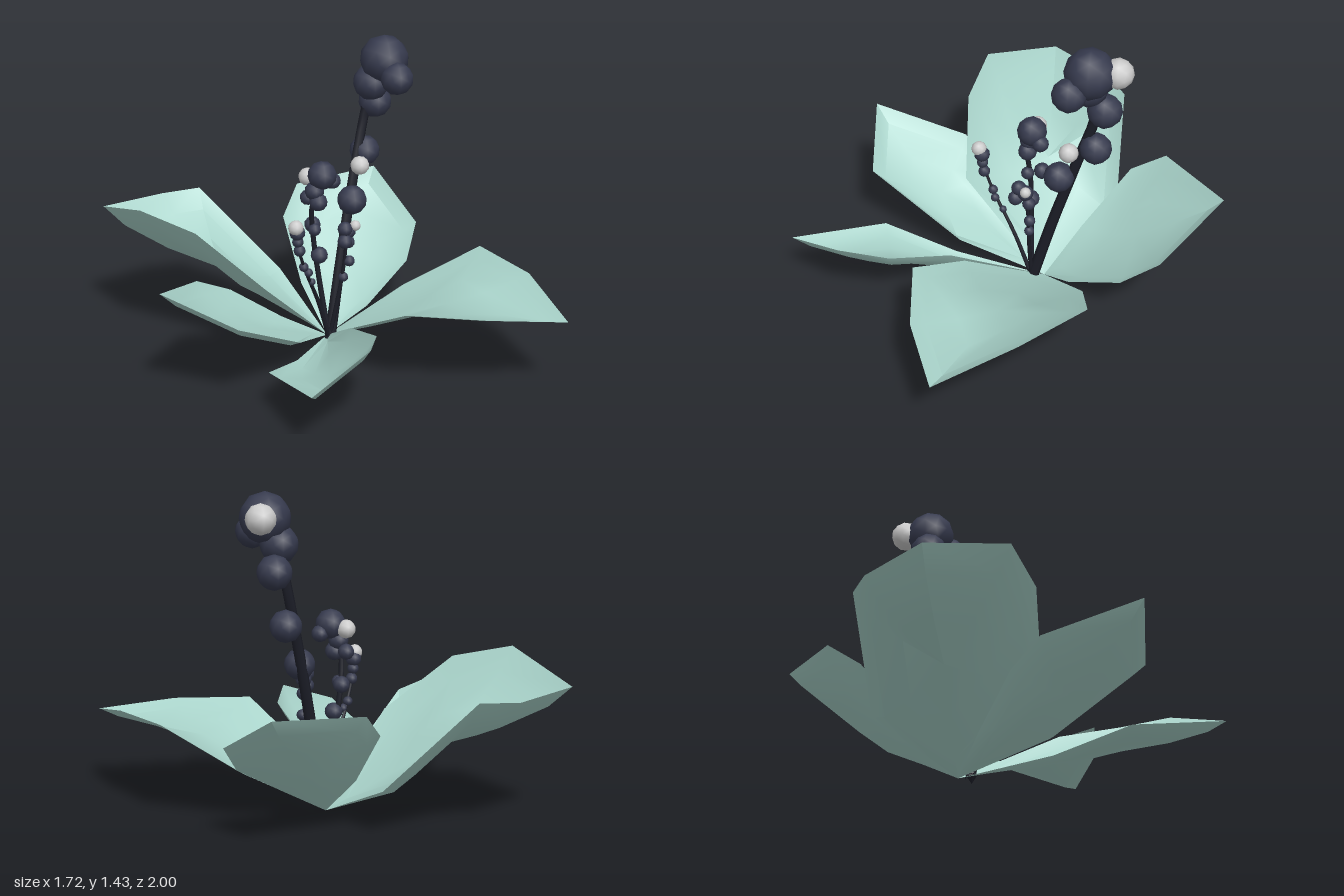
import * as THREE from 'three';
import { toCreasedNormals } from 'three/addons/utils/BufferGeometryUtils.js';

const leafMat = new THREE.MeshStandardMaterial({ color: 0xa9d3ca, side: THREE.DoubleSide });
const darkMat = new THREE.MeshStandardMaterial({ color: 0x363a4e });
const stemMat = new THREE.MeshStandardMaterial({ color: 0x1d1f29 });
const paleMat = new THREE.MeshStandardMaterial({ color: 0xcccccc });

const ROOT = [0.155, 0.02, -0.15];

// Leaves: hollow centre, depth of the border fold, then the rim counted
// counterclockwise from above, starting after the root
const LEAVES = {
  backLeaf: {
    centre: [-0.15, 0.33, -0.55], fold: 0.04,
    rim: [[0.25, 0.2, -0.57], [0.03, 0.59, -0.9], [-0.13, 0.58, -0.985], [-0.47, 0.6, -1],
      [-0.57, 0.715, -0.6], [-0.47, 0.65, -0.34], [-0.28, 0.4, -0.1]],
  },
  backLeftLeaf: {
    centre: [0.5, 0.3, -0.38], fold: 0.02,
    rim: [[0.35, 0.13, -0.08], [0.63, 0.275, -0.09], [0.78, 0.41, -0.17], [0.855, 0.59, -0.53],
      [0.45, 0.565, -0.66], [0.3, 0.45, -0.6], [0.2, 0.2, -0.37]],
  },
  frontLeaf: {
    centre: [0.35, 0.3, 0.42], fold: 0.015,
    rim: [[-0.03, 0.23, 0.2], [-0.04, 0.4, 0.53], [0.19, 0.39, 0.8], [0.48, 0.355, 1],
      [0.65, 0.425, 0.64], [0.73, 0.43, 0.28], [0.5, 0.22, 0.01]],
  },
  frontRightLeaf: {
    centre: [-0.33, 0.16, 0.36], fold: 0.025,
    rim: [[-0.22, 0.08, 0.04], [-0.53, 0.18, 0.19], [-0.7, 0.28, 0.63], [-0.38, 0.39, 0.65],
      [-0.2, 0.35, 0.51], [-0.08, 0.26, 0.24]],
  },
  rightLeaf: {
    centre: [-0.42, 0.26, -0.08], fold: 0.025,
    rim: [[-0.05, 0.15, -0.24], [-0.3, 0.34, -0.31], [-0.48, 0.43, -0.33], [-0.86, 0.55, -0.12],
      [-0.65, 0.4, 0.14], [-0.2, 0.16, 0.04]],
  },
};

// A leaf is a shallow bowl: the rim, two sunken rings inside it, and a fan to the centre
function leafGeometry({ centre, fold, rim }) {
  const c = new THREE.Vector3(...centre);
  const outer = [ROOT, ...rim].map((p) => new THREE.Vector3(...p));
  const n = outer.length;
  const points = [...outer];
  for (const t of [0.18, 0.55]) {
    for (const [i, p] of outer.entries()) {
      const q = p.clone().lerp(c, t);
      if (i > 0) q.y -= fold;
      points.push(q);
    }
  }
  points.push(c);
  const index = [];
  for (let i = 0; i < n; i++) {
    const j = (i + 1) % n;
    for (const a of [0, n]) index.push(a + i, a + j, a + n + j, a + i, a + n + j, a + n + i);
    index.push(2 * n + i, 2 * n + j, 3 * n);
  }
  const g = new THREE.BufferGeometry().setFromPoints(points);
  g.setIndex(index);
  return toCreasedNormals(g, 0.65);
}

// Stalks: path, bottom and top radius, beads as [x, y, z, radius], pale beads likewise
const STALKS = {
  tallStalk: {
    path: [[0.125, 0.03, -0.1], [0.22, 0.4, -0.125], [0.32, 0.75, -0.15], [0.415, 1.09, -0.16], [0.415, 1.28, -0.1]],
    radii: [0.027, 0.021],
    dark: [[0.265, 0.68, -0.1, 0.069], [0.412, 0.87, -0.165, 0.071], [0.462, 1.1, -0.15, 0.077],
      [0.4, 1.21, -0.115, 0.084], [0.41, 1.255, 0.035, 0.075], [0.437, 1.32, -0.07, 0.112]],
    pale: [[0.315, 0.835, -0.1, 0.044], [0.53, 1.325, -0.14, 0.067]],
  },
  middleStalk: {
    path: [[0.12, 0.03, -0.1], [0.09, 0.3, -0.13], [0.065, 0.55, -0.15], [0.05, 0.7, -0.14], [0.08, 0.82, -0.12]],
    radii: [0.014, 0.011],
    dark: [[0.085, 0.45, -0.13, 0.04], [0.06, 0.58, -0.135, 0.03], [0.1, 0.58, -0.19, 0.038],
      [0.07, 0.715, -0.12, 0.042], [0.065, 0.765, -0.14, 0.045], [0.07, 0.72, -0.19, 0.036],
      [0.15, 0.8, -0.11, 0.038], [0.094, 0.837, -0.12, 0.067]],
    pale: [[0.07, 0.82, -0.19, 0.042]],
  },
  shortStalk: {
    path: [[0.12, 0.03, -0.1], [0.14, 0.3, -0.05], [0.15, 0.45, -0.03], [0.14, 0.6, -0.01]],
    radii: [0.011, 0.007],
    dark: [[0.15, 0.35, -0.04, 0.023], [0.168, 0.43, -0.02, 0.026], [0.162, 0.525, -0.02, 0.03],
      [0.11, 0.55, 0.01, 0.034], [0.15, 0.585, -0.01, 0.036], [0.12, 0.605, 0, 0.034]],
    pale: [[0.17, 0.612, 0.015, 0.025]],
  },
  leaningStalk: {
    path: [[0.12, 0.03, -0.1], [0.03, 0.25, -0.08], [-0.07, 0.44, -0.06], [-0.12, 0.56, -0.05], [-0.14, 0.66, -0.045]],
    radii: [0.011, 0.006],
    dark: [[-0.025, 0.37, -0.065, 0.017], [-0.06, 0.43, -0.05, 0.02], [-0.08, 0.46, -0.06, 0.022],
      [-0.12, 0.555, -0.045, 0.027], [-0.13, 0.6, -0.045, 0.026], [-0.133, 0.645, -0.045, 0.036]],
    pale: [[-0.146, 0.672, -0.04, 0.035]],
  },
};

// Tube that narrows steadily along its curve
function taperedTube(points, [r0, r1]) {
  const curve = new THREE.CatmullRomCurve3(points.map((p) => new THREE.Vector3(...p)));
  const rows = 16, sides = 6;
  const g = new THREE.TubeGeometry(curve, rows, 1, sides);
  const pos = g.attributes.position, v = new THREE.Vector3();
  for (let i = 0; i < pos.count; i++) {
    const t = Math.floor(i / (sides + 1)) / rows;
    const centre = curve.getPointAt(t);
    v.fromBufferAttribute(pos, i).sub(centre).multiplyScalar(r0 + (r1 - r0) * t).add(centre);
    pos.setXYZ(i, v.x, v.y, v.z);
  }
  return g;
}

export function createModel() {
  const group = new THREE.Group();
  group.name = 'plant';
  const add = (parent, name, geometry, material) => {
    const mesh = new THREE.Mesh(geometry, material);
    mesh.name = name;
    parent.add(mesh);
    return mesh;
  };

  for (const [name, leaf] of Object.entries(LEAVES)) add(group, name, leafGeometry(leaf), leafMat);

  const ball = new THREE.IcosahedronGeometry(1, 1);
  for (const [name, { path, radii, dark, pale }] of Object.entries(STALKS)) {
    const stalk = new THREE.Group();
    stalk.name = name;
    group.add(stalk);
    add(stalk, 'stem', taperedTube(path, radii), stemMat);
    for (const [beads, label, mat] of [[dark, 'berry', darkMat], [pale, 'paleBerry', paleMat]]) {
      for (const [x, y, z, r] of beads) {
        const berry = add(stalk, label, ball, mat);
        berry.position.set(x, y, z);
        berry.scale.setScalar(r);
      }
    }
  }

  // Small pointed root under the leaves
  const root = add(group, 'root', new THREE.ConeGeometry(0.026, 0.04, 6), stemMat);
  root.rotation.x = Math.PI;
  root.position.set(0.122, 0.02, -0.1);
  return group;
}
